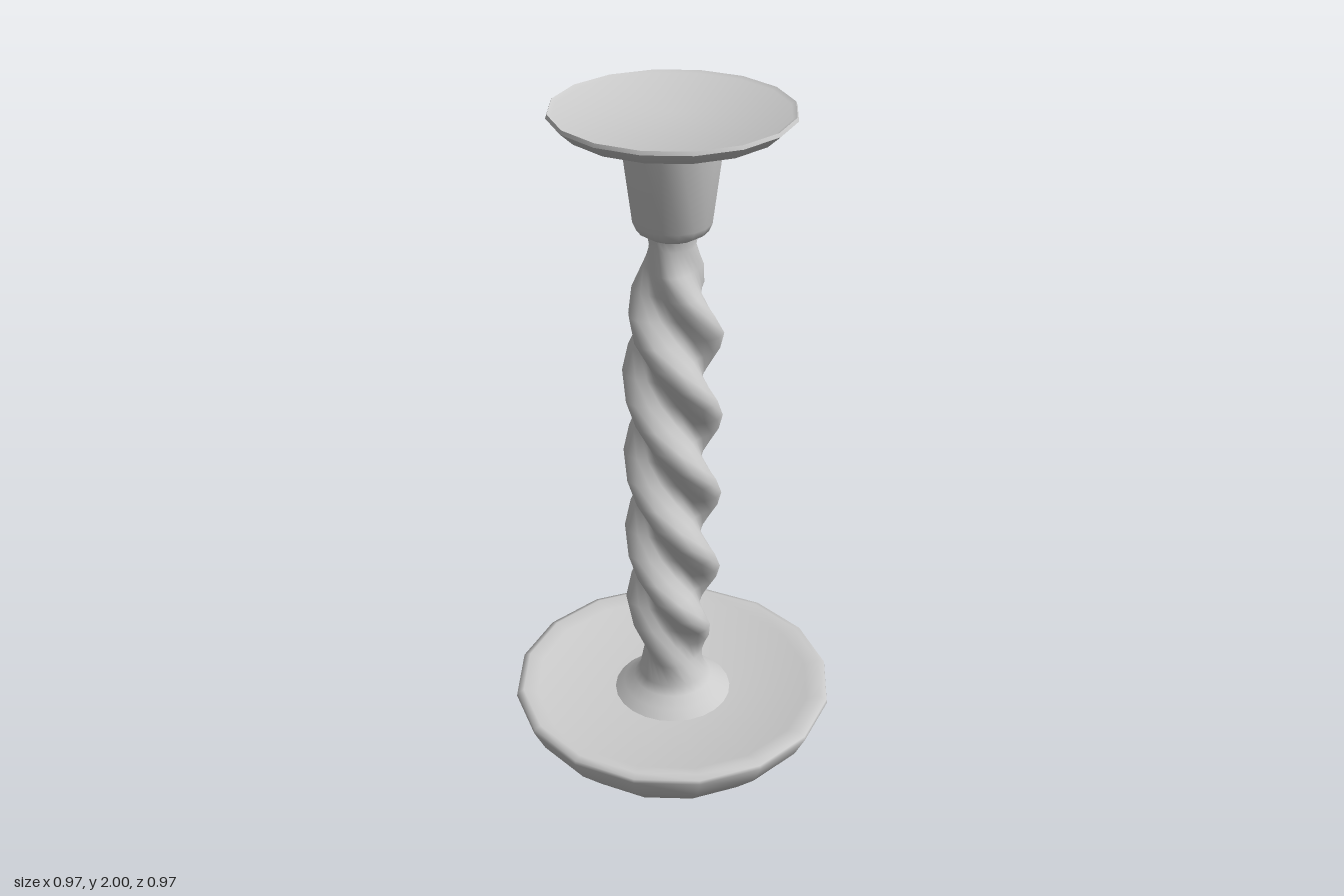
import * as THREE from 'three';
import { mergeVertices, toCreasedNormals } from 'three/addons/utils/BufferGeometryUtils.js';

const material = new THREE.MeshStandardMaterial({ color: 0xcccccc });

function makeMesh(name, geometry) {
  const mesh = new THREE.Mesh(geometry, material);
  mesh.name = name;
  return mesh;
}

// Sixteen-sided turned part; profile runs from bottom to top as [radius, y]
function turned(name, profile, crease) {
  const points = profile.map(([r, y]) => new THREE.Vector2(r, y));
  return makeMesh(name, toCreasedNormals(new THREE.LatheGeometry(points, 16), crease));
}

// Column outline: [y, mean radius, strand depth]
const outline = [
  [0.135, 0.185, 0], [0.165, 0.15, 0], [0.19, 0.118, 0], [0.217, 0.1, 0],
  [0.26, 0.085, 0.003], [0.35, 0.095, 0.018], [0.46, 0.111, 0.03], [1.37, 0.112, 0.03],
  [1.47, 0.1, 0.022], [1.54, 0.086, 0.012], [1.61, 0.065, 0.001], [1.625, 0.063, 0], [1.67, 0.071, 0],
];

function sampleOutline(y) {
  let i = 1;
  while (i < outline.length - 1 && outline[i][0] < y) i++;
  const [a, b] = [outline[i - 1], outline[i]];
  const t = (y - a[0]) / (b[0] - a[0]);
  return [1, 2].map((k) => THREE.MathUtils.lerp(a[k], b[k], t));
}

// Three strands twisting once around per pitch
function twistedColumn() {
  const pitch = 0.77, ridgeY = 0.985, sides = 24;
  const rows = [0.135, 0.165, 0.19];
  for (let i = -12; i <= 10; i++) rows.push(ridgeY + (i * pitch) / 12);
  rows.push(1.67);
  const last = rows.length - 1;
  const geometry = new THREE.CylinderGeometry(1, 1, 1, sides, last, true);
  const pos = geometry.attributes.position;
  for (let i = 0; i < pos.count; i++) {
    const y = rows[Math.round((pos.getY(i) + 0.5) * last)];
    const around = Math.atan2(pos.getZ(i), pos.getX(i));
    const [mean, depth] = sampleOutline(y);
    const radius = mean + depth * Math.cos(3 * around);
    const angle = around + (2 * Math.PI * (y - ridgeY)) / pitch;
    pos.setXYZ(i, radius * Math.cos(angle), y, radius * Math.sin(angle));
  }
  // Weld the seam so the shading runs smoothly around
  geometry.deleteAttribute('uv');
  geometry.deleteAttribute('normal');
  const welded = mergeVertices(geometry, 1e-5);
  welded.computeVertexNormals();
  return makeMesh('twistedColumn', welded);
}

export function createModel() {
  const group = new THREE.Group();
  group.name = 'candlestick';

  // Shallow dish standing on the ground
  group.add(turned('base', [
    [0, 0], [0.365, 0], [0.45, 0.09], [0.484, 0.16], [0.482, 0.172], [0.462, 0.18],
    [0.42, 0.166], [0.185, 0.142], [0, 0.14],
  ], 1.1));

  group.add(twistedColumn());

  // Tapered socket above the neck
  group.add(turned('socket', [
    [0, 1.655], [0.07, 1.655], [0.098, 1.672], [0.108, 1.695], [0.137, 1.925],
  ], 0.9));

  // Wide plate carrying the candle
  group.add(turned('plate', [
    [0, 1.92], [0.135, 1.923], [0.29, 1.957], [0.326, 1.99], [0.322, 2], [0.31, 1.994], [0, 1.988],
  ], 1.0));

  return group;
}
